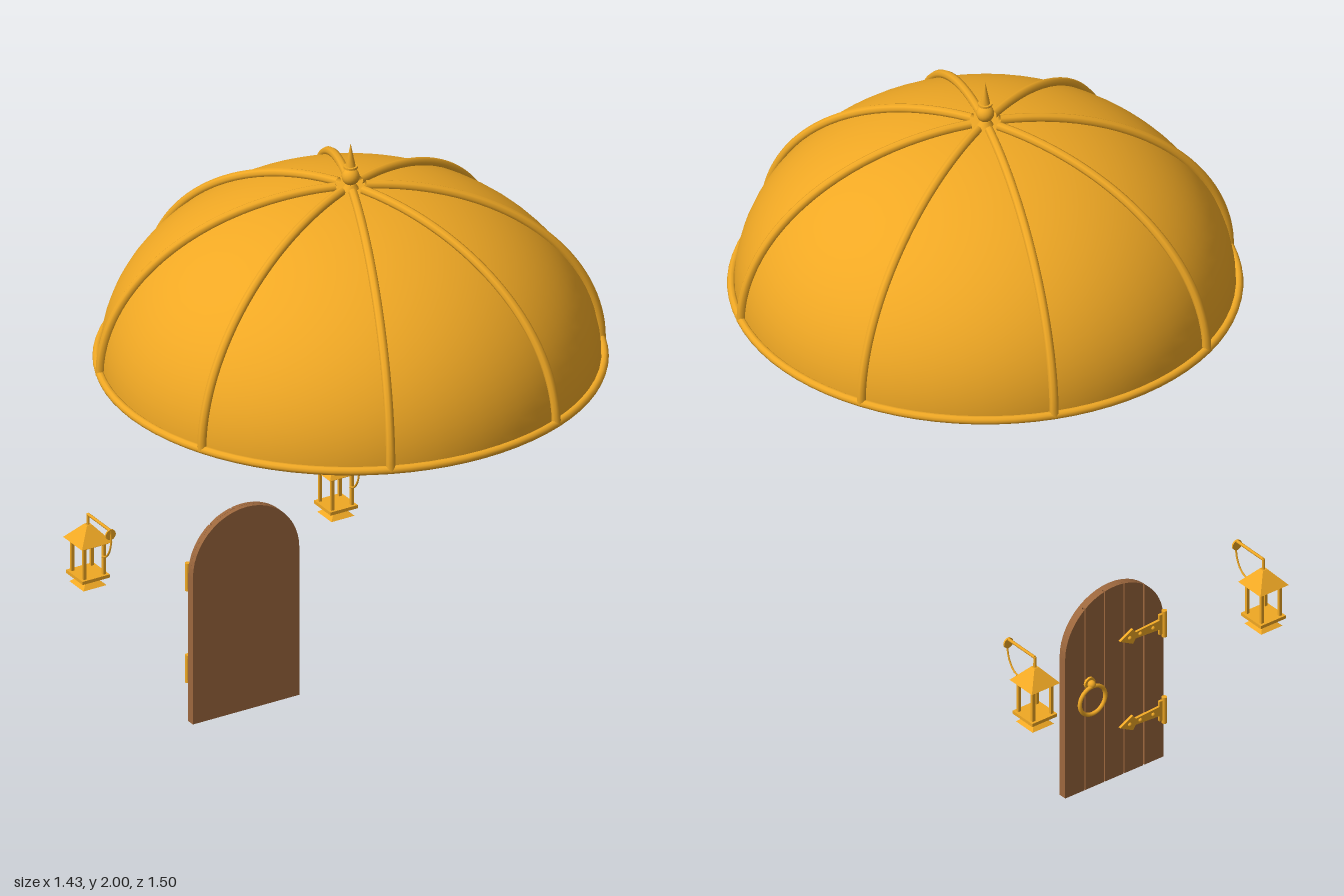
import * as THREE from 'three';

const gold = new THREE.MeshStandardMaterial({ color: 0xf0a824 });
const goldFlat = new THREE.MeshStandardMaterial({ color: 0xf0a824, flatShading: true });
const goldThin = new THREE.MeshStandardMaterial({ color: 0xf0a824, side: THREE.DoubleSide });
const wood = new THREE.MeshStandardMaterial({ color: 0x9c673d });

function add(parent, name, geometry, material, x = 0, y = 0, z = 0) {
  const mesh = new THREE.Mesh(geometry, material);
  mesh.name = name;
  mesh.position.set(x, y, z);
  parent.add(mesh);
  return mesh;
}

function group(parent, name, x = 0, y = 0, z = 0) {
  const g = new THREE.Group();
  g.name = name;
  g.position.set(x, y, z);
  parent.add(g);
  return g;
}

// Dome: half ellipsoid, closed below, with rim, ribs and finial
function buildDome(parent) {
  const R = 0.695, H = 0.525;
  const dome = group(parent, 'dome', 0, 1.337, 0.03);
  const shell = new THREE.SphereGeometry(1, 64, 24, 0, Math.PI * 2, 0, Math.PI / 2);
  add(dome, 'domeShell', shell.scale(R, H, R), gold);
  add(dome, 'domeFloor', new THREE.CircleGeometry(R, 64).rotateX(Math.PI / 2), goldThin);
  add(dome, 'domeRim', new THREE.TorusGeometry(0.703, 0.012, 10, 80).rotateX(Math.PI / 2), gold, 0, 0.003);

  const points = [];
  for (let i = 0; i <= 16; i++) {
    const t = (i / 16) * (Math.PI / 2 - 0.06);
    points.push(new THREE.Vector3((R + 0.008) * Math.cos(t), (H + 0.008) * Math.sin(t), 0));
  }
  const ribGeometry = new THREE.TubeGeometry(new THREE.CatmullRomCurve3(points), 40, 0.013, 8);
  for (let i = 0; i < 8; i++) {
    add(dome, 'domeRib', ribGeometry, goldThin).rotation.y = (i + 0.5) * Math.PI / 4;
  }

  const finial = group(dome, 'finial', 0, H, 0);
  add(finial, 'finialBase', new THREE.CylinderGeometry(0.014, 0.026, 0.02, 20), gold, 0, 0.004);
  add(finial, 'finialBall', new THREE.SphereGeometry(0.025, 20, 14), gold, 0, 0.036);
  add(finial, 'finialCollar', new THREE.CylinderGeometry(0.02, 0.02, 0.006, 20), gold, 0, 0.066);
  add(finial, 'finialSpike', new THREE.ConeGeometry(0.014, 0.07, 16), gold, 0, 0.103);
}

// Outline of an arched board between x0 and x1
const ARCH = 0.173, SPRING = 0.457;
function archShape(x0, x1) {
  const shape = new THREE.Shape();
  shape.moveTo(x0, 0);
  shape.lineTo(x1, 0);
  for (let i = 0; i <= 24; i++) {
    const a = Math.acos(x1 / ARCH) + (Math.acos(x0 / ARCH) - Math.acos(x1 / ARCH)) * (i / 24);
    shape.lineTo(ARCH * Math.cos(a), SPRING + ARCH * Math.sin(a));
  }
  return shape;
}

// Door: backing sheet, five planks, two strap hinges and a ring handle facing -z
function buildDoor(parent) {
  const door = group(parent, 'door', 0, 0, -0.522);
  const slab = (x0, x1, depth) =>
    new THREE.ExtrudeGeometry(archShape(x0, x1), { depth, bevelEnabled: false });
  add(door, 'doorBacking', slab(-ARCH, ARCH, 0.014), wood, 0, 0, -0.014);
  const w = 2 * ARCH / 5;
  for (let i = 0; i < 5; i++) {
    const x0 = -ARCH + i * w + (i > 0 ? 0.002 : 0);
    const x1 = -ARCH + (i + 1) * w - (i < 4 ? 0.002 : 0);
    add(door, 'doorPlank', slab(x0, x1, 0.011), wood, 0, 0, -0.025);
  }

  // Tapered strap with a spear tip
  const strap = new THREE.Shape();
  [[0, -0.016], [0.1, -0.01], [0.11, -0.024], [0.155, 0], [0.11, 0.024], [0.1, 0.01], [0, 0.016]]
    .forEach(([x, y], i) => (i ? strap.lineTo(x, y) : strap.moveTo(x, y)));
  const strapGeometry = new THREE.ExtrudeGeometry(strap, { depth: 0.008, bevelEnabled: false });
  for (const y of [0.16, 0.445]) {
    const hinge = group(door, 'hinge', -0.17, y, -0.033);
    add(hinge, 'hingeStrap', strapGeometry, gold);
    add(hinge, 'hingePlate', new THREE.BoxGeometry(0.022, 0.065, 0.008), gold, 0.006, 0, 0.003);
    add(hinge, 'hingePin', new THREE.CylinderGeometry(0.008, 0.008, 0.085, 12), gold, 0, 0, 0);
    for (const x of [0.04, 0.085, 0.122]) {
      add(hinge, 'hingeRivet', new THREE.SphereGeometry(0.006, 10, 8), gold, x, 0, 0);
    }
  }

  const handle = group(door, 'handle', 0.09, 0.3, -0.025);
  add(handle, 'handlePlate', new THREE.CylinderGeometry(0.018, 0.018, 0.008, 20).rotateX(Math.PI / 2), gold, 0, 0.05, -0.003);
  add(handle, 'handleKnob', new THREE.SphereGeometry(0.012, 14, 10), gold, 0, 0.05, -0.013);
  add(handle, 'handleRing', new THREE.TorusGeometry(0.045, 0.006, 10, 32), gold, 0, 0, -0.017);
}

// Square frustum with its sides along x and z
function frustum(top, bottom, height) {
  const s = Math.SQRT1_2;
  return new THREE.CylinderGeometry(top * s, bottom * s, height, 4).rotateY(Math.PI / 4);
}

// Lantern hung from a bracket
function buildLantern(parent, x) {
  const lantern = group(parent, 'lantern', x, 0, -0.703);
  add(lantern, 'lanternRoof', frustum(0.016, 0.1, 0.048), goldFlat, 0, 0.582);
  add(lantern, 'roofEdge', new THREE.BoxGeometry(0.08, 0.008, 0.08), goldFlat, 0, 0.555);
  add(lantern, 'hanger', new THREE.CylinderGeometry(0.004, 0.005, 0.036, 8), gold, 0, 0.621);
  for (const sx of [-1, 1]) for (const sz of [-1, 1]) {
    add(lantern, 'lanternPost', new THREE.BoxGeometry(0.009, 0.1, 0.009), goldFlat, sx * 0.032, 0.503, sz * 0.032);
  }
  add(lantern, 'lanternBase', new THREE.BoxGeometry(0.088, 0.01, 0.088), goldFlat, 0, 0.452);
  add(lantern, 'lanternFoot', frustum(0.02, 0.075, 0.025), goldFlat, 0, 0.435);
  add(lantern, 'lanternTip', frustum(0.03, 0.008, 0.014), goldFlat, 0, 0.416);

  // Arm, wall disc and curved brace
  add(lantern, 'bracketArm', new THREE.CylinderGeometry(0.0045, 0.0045, 0.12, 8).rotateX(Math.PI / 2), gold, 0, 0.637, 0.06);
  add(lantern, 'wallDisc', new THREE.CylinderGeometry(0.016, 0.016, 0.005, 20).rotateX(Math.PI / 2), gold, 0, 0.625, 0.119);
  const brace = new THREE.CatmullRomCurve3([[0.637, 0.119], [0.6, 0.122], [0.567, 0.112], [0.546, 0.095], [0.538, 0.075]]
    .map(([y, z]) => new THREE.Vector3(0, y, z)));
  add(lantern, 'bracketBrace', new THREE.TubeGeometry(brace, 20, 0.003, 6), goldThin);
}

export function createModel() {
  const model = new THREE.Group();
  model.name = 'domeDoorAndLanterns';
  buildDome(model);
  buildDoor(model);
  for (const x of [-0.403, 0.403]) buildLantern(model, x);
  return model;
}
